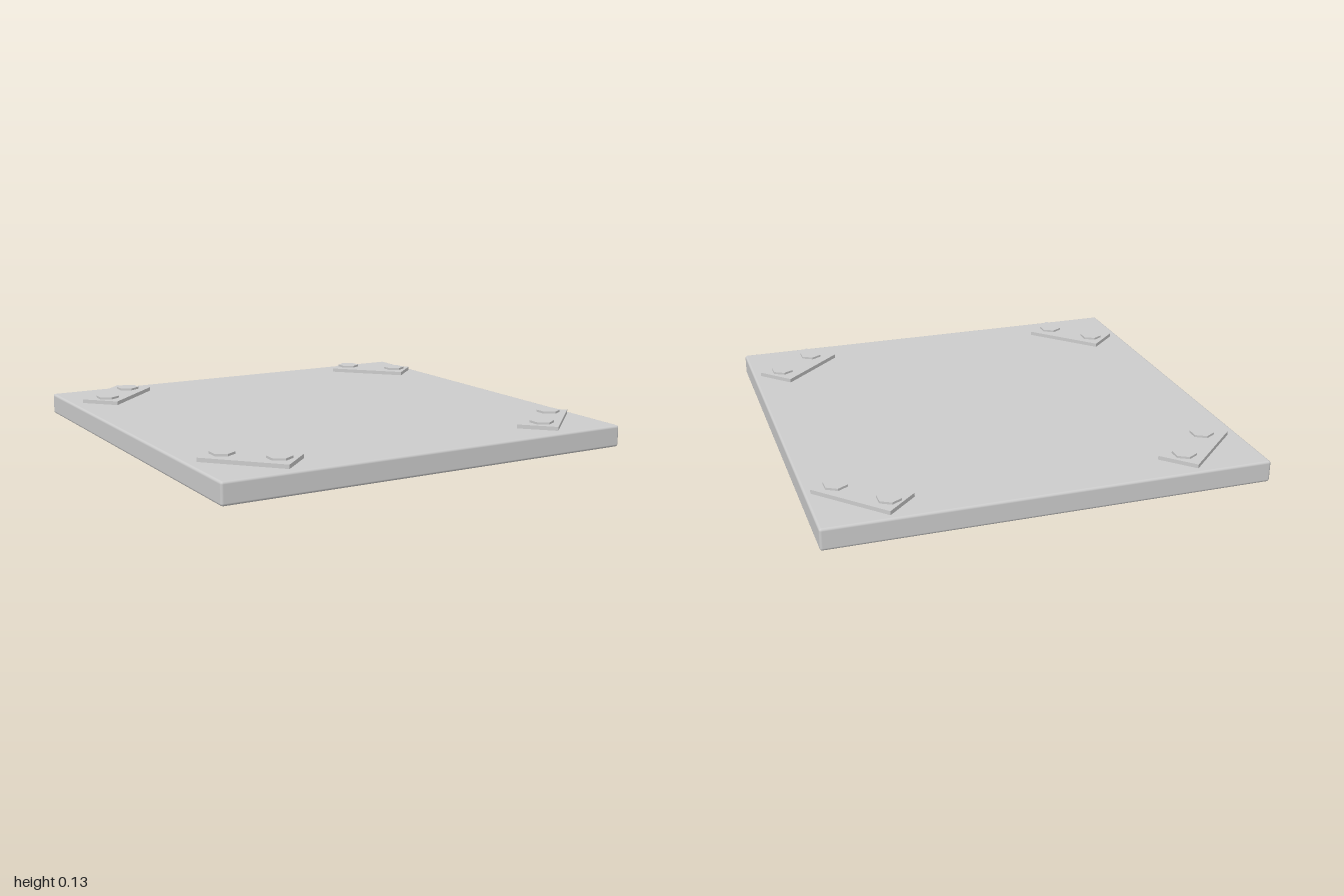
import * as THREE from 'three';
import { RoundedBoxGeometry } from 'three/addons/geometries/RoundedBoxGeometry.js';

const SLAB_TOP = 0.1, PLATE_TOP = 0.118, BOLT_TOP = 0.128;

// Corner plates: centre, turn about y, and the two bolt positions (x, z)
const CORNERS = [
  { name: 'backRight', at: [-0.741, -0.763], turn: 0.766, bolts: [[-0.652, -0.85], [-0.824, -0.677]] },
  { name: 'backLeft', at: [0.771, -0.764], turn: -0.814, bolts: [[0.682, -0.864], [0.866, -0.677]] },
  { name: 'frontRight', at: [-0.749, 0.751], turn: -0.814, bolts: [[-0.832, 0.66], [-0.663, 0.84]] },
  { name: 'frontLeft', at: [0.759, 0.751], turn: 0.766, bolts: [[0.856, 0.671], [0.679, 0.84]] },
];

export function createModel() {
  const model = new THREE.Group();
  model.name = 'boltedPanel';
  const smooth = new THREE.MeshStandardMaterial({ color: 0xcccccc });
  const flat = new THREE.MeshStandardMaterial({ color: 0xcccccc, flatShading: true });

  function add(parent, name, geometry, material, x, y, z) {
    const mesh = new THREE.Mesh(geometry, material);
    mesh.name = name;
    mesh.position.set(x, y, z);
    parent.add(mesh);
    return mesh;
  }

  // Square slab with softened edges
  add(model, 'slab', new RoundedBoxGeometry(2, SLAB_TOP, 2, 2, 0.012), smooth, 0, SLAB_TOP / 2, 0);

  // Plates and hexagonal bolt heads, sunk a little so they sit solidly
  const sink = 0.01;
  const plateHeight = PLATE_TOP - SLAB_TOP + sink;
  const boltHeight = BOLT_TOP - PLATE_TOP + sink;
  const plateGeometry = new THREE.BoxGeometry(0.393, plateHeight, 0.185);
  const boltGeometry = new THREE.CylinderGeometry(0.055, 0.055, boltHeight, 6);

  for (const { name, at, turn, bolts } of CORNERS) {
    const bracket = new THREE.Group();
    bracket.name = name + 'Bracket';
    model.add(bracket);
    const plate = add(bracket, 'plate', plateGeometry, flat, at[0], PLATE_TOP - plateHeight / 2, at[1]);
    plate.rotation.y = turn;
    for (const [x, z] of bolts) {
      add(bracket, 'boltHead', boltGeometry, flat, x, BOLT_TOP - boltHeight / 2, z);
    }
  }
  return model;
}
